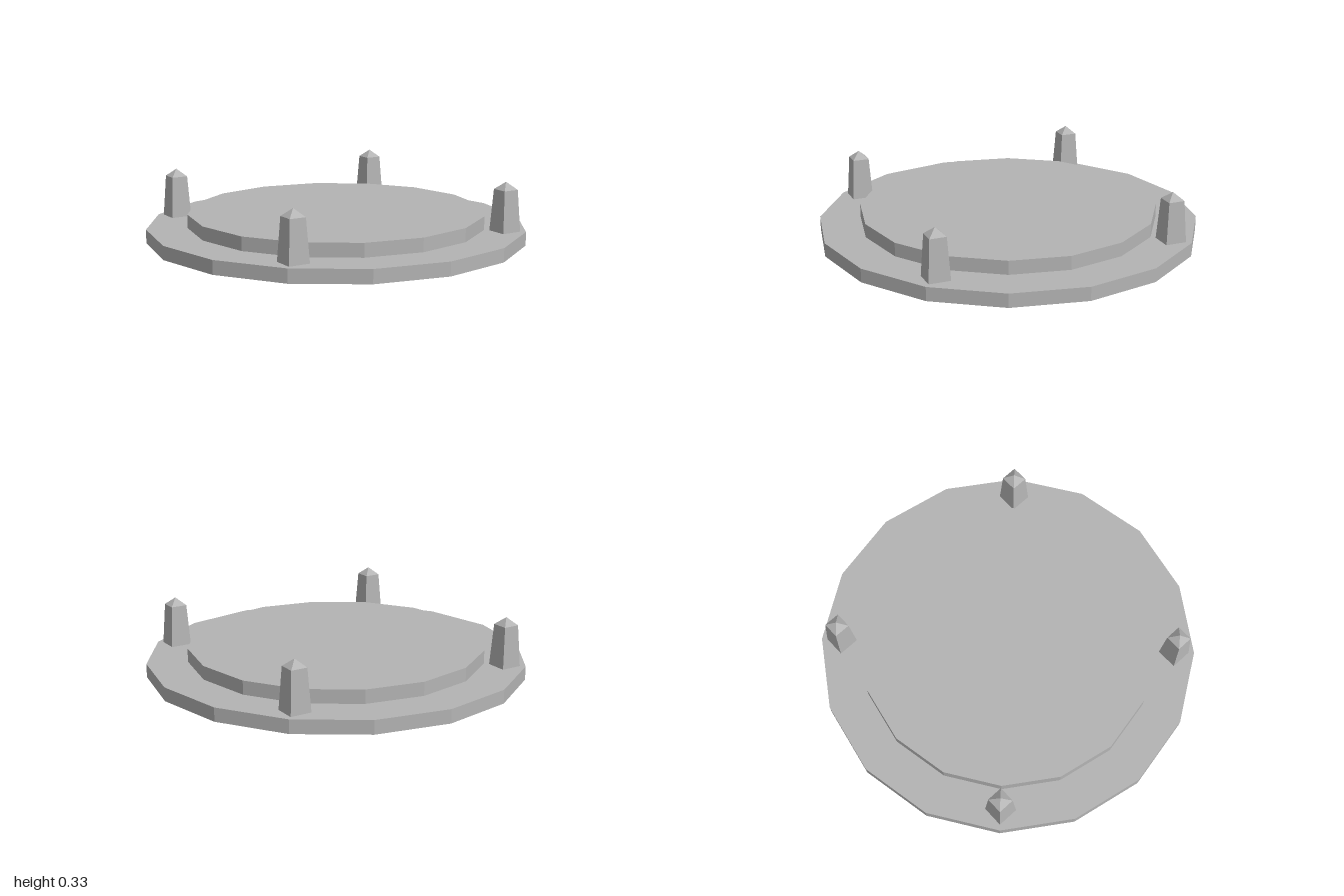
import * as THREE from 'three';

export function createModel() {
  const group = new THREE.Group();
  group.name = 'steppedPlatform';
  const stone = new THREE.MeshStandardMaterial({ color: 0xb4b4b4, flatShading: true });
  stone.name = 'stone grey';

  const add = (parent, name, geometry, y) => {
    const mesh = new THREE.Mesh(geometry, stone);
    mesh.name = name;
    mesh.position.y = y;
    parent.add(mesh);
    return mesh;
  };

  // Two stacked sixteen-sided tiers
  add(group, 'lowerTier', new THREE.CylinderGeometry(1, 1, 0.072, 16), 0.036);
  add(group, 'upperTier', new THREE.CylinderGeometry(0.785, 0.785, 0.072, 16), 0.108);

  // Four tapered square posts with pyramid caps, one per diagonal
  const baseRadius = 0.056 * Math.SQRT2;
  const topRadius = 0.043 * Math.SQRT2;
  const shaft = new THREE.CylinderGeometry(topRadius, baseRadius, 0.218, 4, 1, true).rotateY(Math.PI / 4);
  const cap = new THREE.ConeGeometry(topRadius, 0.04, 4, 1, true).rotateY(Math.PI / 4);
  for (const x of [-1, 1]) {
    for (const z of [-1, 1]) {
      const post = new THREE.Group();
      post.name = (z > 0 ? 'front' : 'back') + (x > 0 ? 'Left' : 'Right') + 'Post';
      post.position.set(x * 0.63, 0.072, z * 0.63);
      add(post, 'postShaft', shaft, 0.109);
      add(post, 'postCap', cap, 0.238);
      group.add(post);
    }
  }
  return group;
}
